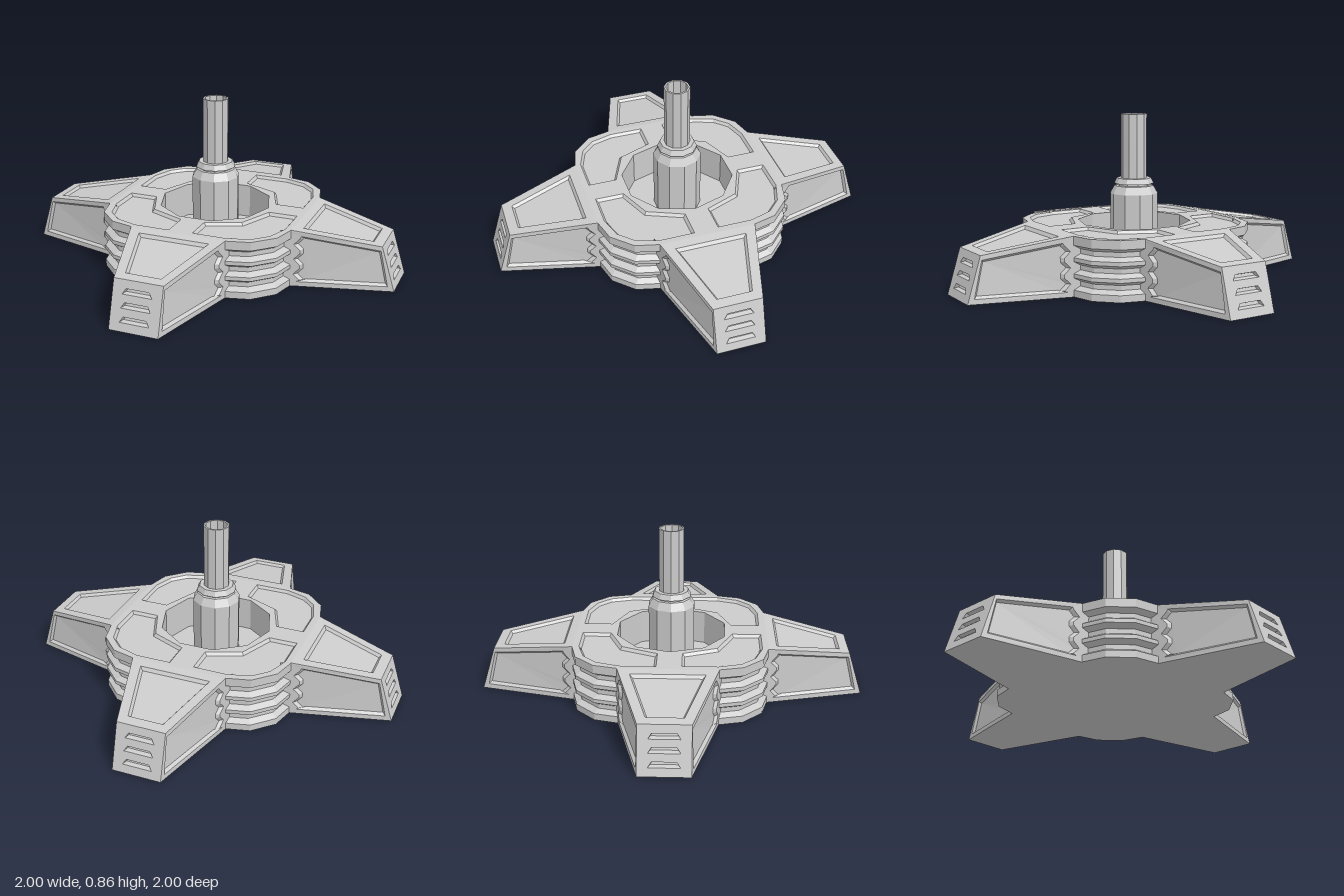
import * as THREE from 'three';
import { mergeGeometries } from 'three/addons/utils/BufferGeometryUtils.js';

const grey = new THREE.MeshStandardMaterial({ color: 0xcccccc, flatShading: true });
const thin = new THREE.MeshStandardMaterial({ color: 0xcccccc, flatShading: true, side: THREE.DoubleSide });
const TOP = 0.3, TIP = 0.23;
const GROOVES = [0.065, 0.145, 0.225];
const CORNER = [[0.25, 0.5], [0.37, 0.47], [0.47, 0.37], [0.5, 0.25]];

const ccw = (pts) => {
  const v = pts.map(([x, y]) => new THREE.Vector2(x, y));
  return THREE.ShapeUtils.isClockWise(v) ? v.reverse() : v;
};

// Moves every edge of a counter-clockwise polygon inwards by t
function inset(poly, t) {
  return poly.map((p, i) => {
    const a = poly[(i + poly.length - 1) % poly.length], b = poly[(i + 1) % poly.length];
    const d1 = p.clone().sub(a).normalize(), d2 = b.clone().sub(p).normalize();
    const n1 = new THREE.Vector2(-d1.y, d1.x), n2 = new THREE.Vector2(-d2.y, d2.x);
    return p.clone().addScaledVector(n1.clone().add(n2), t / (1 + n1.dot(n2)));
  });
}

// Flat face with bevelled recesses; map(u, v, w) places it in space, w points outwards
function skin(outline, recesses, map, { depth = 0.015, bevel = 0.012, openings = [] } = {}) {
  const parts = [];
  const place = (geo, w) => {
    const g = geo.index ? geo.toNonIndexed() : geo;
    g.deleteAttribute('uv');
    const p = g.attributes.position;
    for (let i = 0; i < p.count; i++) p.setXYZ(i, ...map(p.getX(i), p.getY(i), w ?? p.getZ(i)));
    g.computeVertexNormals();
    parts.push(g);
  };
  const face = new THREE.Shape(ccw(outline));
  for (const hole of [...recesses, ...openings]) face.holes.push(new THREE.Path(ccw(hole)));
  place(new THREE.ShapeGeometry(face), 0);
  for (const r of recesses) {
    const rim = ccw(r), floor = inset(rim, bevel), pos = [];
    rim.forEach((a, i) => {
      const j = (i + 1) % rim.length, b = rim[j], c = floor[j], d = floor[i];
      pos.push(a.x, a.y, 0, b.x, b.y, 0, c.x, c.y, -depth, a.x, a.y, 0, c.x, c.y, -depth, d.x, d.y, -depth);
    });
    const wall = new THREE.BufferGeometry();
    wall.setAttribute('position', new THREE.Float32BufferAttribute(pos, 3));
    place(wall);
    place(new THREE.ShapeGeometry(new THREE.Shape(floor)), -depth);
  }
  return mergeGeometries(parts);
}

function add(parent, name, geo, mat = grey) {
  const m = new THREE.Mesh(geo, mat);
  m.name = name;
  parent.add(m);
  return m;
}

const quarterTurn = ([x, z], k) => {
  for (let i = 0; i < k; i++) [x, z] = [z, -x];
  return [x, z];
};
const around = (pts) => [0, 1, 2, 3].flatMap((k) => pts.map((p) => quarterTurn(p, k)));

// One arm, pointing to +z
function arm() {
  const g = new THREE.Group();
  g.name = 'arm';
  const endZ = (y) => 1 - 0.07 * y / TIP;
  const half = (z, y) => 0.25 - 0.125 * (z - 0.5) / (endZ(y) - 0.5);
  const topY = (z) => TOP - (TOP - TIP) * (z - 0.5) / 0.43;

  add(g, 'armTop', skin(
    [[-0.25, -0.5], [0.25, -0.5], [0.125, -0.93], [-0.125, -0.93]],
    [[[-0.185, -0.545], [0.185, -0.545], [0.09, -0.88], [-0.09, -0.88]]],
    (u, v, w) => [u, topY(-v) + w, -v]));

  // Side panels, whose inner edge zigzags along the hub grooves
  const zigzag = [[0.53, 0.025]];
  for (const y of GROOVES) zigzag.push([0.545, y - 0.032], [0.515, y], [0.545, y + 0.032]);
  const panel = [...zigzag, [0.55, 0.268], [0.925, 0.208], [0.968, 0.025]];
  for (const s of [1, -1]) {
    const flip = ([z, y]) => [-s * z, y];
    add(g, s > 0 ? 'leftArmSide' : 'rightArmSide', skin(
      [[0.45, 0], [1, 0], [0.93, TIP], [0.5, TOP], [0.45, TOP]].map(flip), [panel.map(flip)],
      (u, v, w) => [s * (half(-s * u, v) + w), v, -s * u]));
  }

  // Sloping end with three vent slots
  const slots = [0.052, 0.115, 0.177].map((y) =>
    [[-0.075, y - 0.012], [0.075, y - 0.012], [0.058, y + 0.014], [-0.058, y + 0.014]]);
  add(g, 'armTip', skin(
    [[-0.125, 0], [0.125, 0], [0.125, TIP], [-0.125, TIP]], slots,
    (u, v, w) => [u, v, endZ(v) + w], { depth: 0.02, bevel: 0.006 }));
  return g;
}

// Grooved wall between two arms
function hubWall() {
  const profile = [[0, 0]];
  for (const y of GROOVES) {
    profile.push([0, y - 0.03], [0.03, y - 0.012], [0.03, y + 0.012], [0, y + 0.03]);
  }
  profile.push([0, TOP]);
  const pos = [], index = [], n = CORNER.length;
  profile.forEach(([d, y], i) => CORNER.forEach(([x, z], j) => {
    const f = 1 - d / 0.56;
    pos.push(x * f, y, z * f);
    if (i && j) {
      const a = (i - 1) * n + j - 1, b = a + 1, c = a + n, e = c + 1;
      index.push(a, b, e, a, e, c);
    }
  }));
  const geo = new THREE.BufferGeometry();
  geo.setAttribute('position', new THREE.Float32BufferAttribute(pos, 3));
  geo.setIndex(index);
  geo.computeVertexNormals();
  return geo;
}

const lathe = (pts) => new THREE.LatheGeometry(pts.map(([r, y]) => new THREE.Vector2(r, y)), 10).rotateY(Math.PI / 2);

export function createModel() {
  const model = new THREE.Group();
  model.name = 'pedestal';

  for (let k = 0; k < 4; k++) {
    const a = arm();
    a.rotation.y = k * Math.PI / 2;
    model.add(a);
    add(model, 'hubWall', hubWall()).rotation.y = k * Math.PI / 2;
  }

  // Hub top with four corner panels around a ten-sided opening
  const ring = Array.from({ length: 10 }, (_, i) =>
    [0.295 * Math.cos(i * Math.PI / 5), 0.295 * Math.sin(i * Math.PI / 5)]);
  const panel = [[0.06, 0.47], [0.06, 0.32], [0.245, 0.24], [0.315, 0.065], [0.465, 0.065],
    [0.465, 0.245], [0.43, 0.36], [0.36, 0.43], [0.245, 0.47]];
  const panels = [0, 1, 2, 3].map((k) => panel.map((p) => quarterTurn(p, k)));
  add(model, 'hubTop', skin(around(CORNER), panels, (u, v, w) => [u, TOP + w, -v], { openings: [ring] }));

  // Underside
  add(model, 'underside', skin(around([[-0.125, 1], [0.125, 1], ...CORNER]), [], (u, v, w) => [u, -w, v]));

  // Central well, column and hollow post
  add(model, 'well', lathe([[0.295, TOP], [0.295, 0.12], [0, 0.12]]));
  add(model, 'column', lathe([[0.125, 0.12], [0.125, 0.445], [0.102, 0.485], [0.088, 0.487],
    [0.088, 0.495], [0.104, 0.497], [0.09, 0.525], [0.06, 0.525]]));
  add(model, 'post', lathe([[0.067, 0.52], [0.067, 0.86], [0.057, 0.86], [0.057, 0.53], [0, 0.53]]), thin);
  return model;
}
